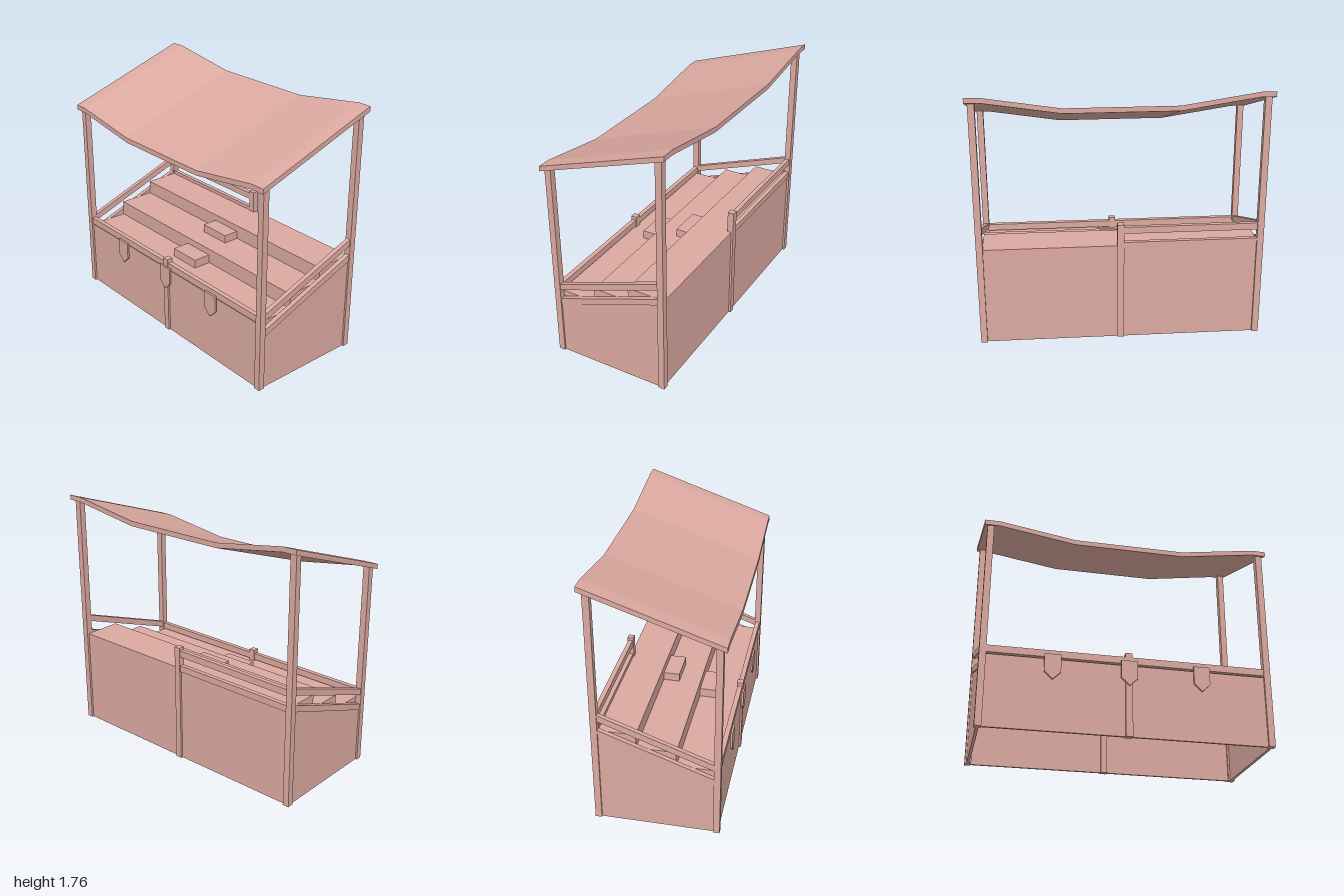
import * as THREE from 'three';

const wood = new THREE.MeshStandardMaterial({ color: 0xdba9a0, flatShading: true, side: THREE.DoubleSide });
const ROOF_SLOPE = 0.34, RAIL_SLOPE = 0.366;

export function createModel() {
  const stall = new THREE.Group();
  stall.name = 'marketStall';

  const add = (name, geometry) => {
    const mesh = new THREE.Mesh(geometry, wood);
    mesh.name = name;
    stall.add(mesh);
    return mesh;
  };

  // raise vertices towards the back; only those above minY move
  const shear = (geometry, slope, minY = -1) => {
    const p = geometry.attributes.position;
    for (let i = 0; i < p.count; i++) {
      if (p.getY(i) > minY) p.setY(i, p.getY(i) - slope * p.getZ(i));
    }
    geometry.computeVertexNormals();
    return geometry;
  };

  // box given by its limits on each axis
  const block = (x0, x1, y0, y1, z0, z1) =>
    new THREE.BoxGeometry(x1 - x0, y1 - y0, z1 - z0)
      .translate((x0 + x1) / 2, (y0 + y1) / 2, (z0 + z1) / 2);

  const extrude = (points, depth) => new THREE.ExtrudeGeometry(
    new THREE.Shape(points.map(([x, y]) => new THREE.Vector2(x, y))),
    { depth, bevelEnabled: false });

  // sagging, sloped canopy
  const sag = [[-1, 1.61], [-0.9, 1.61], [-0.38, 1.53], [0.38, 1.53], [0.9, 1.61], [1, 1.61]];
  const under = sag.map(([x, y]) => [x, y - 0.035]).reverse();
  add('canopy', shear(extrude([...sag, ...under], 0.91).translate(0, 0, -0.455), ROOF_SLOPE));

  for (const s of [-1, 1]) {
    const side = s < 0 ? 'right' : 'left';
    const a = s < 0 ? -0.98 : 0.935, b = a + 0.045;
    // corner posts with tops cut to the canopy slope
    add(side + 'FrontPost', shear(block(a, b, 0, 1.585, 0.385, 0.43), ROOF_SLOPE, 0.5));
    add(side + 'BackPost', shear(block(a, b, 0, 1.585, -0.425, -0.38), ROOF_SLOPE, 0.5));
    // side panel and the two sloped rails above it
    const c = s * 0.958;
    add(side + 'Panel', shear(block(c - 0.01, c + 0.01, 0, 0.537, -0.385, 0.39), RAIL_SLOPE, 0.1));
    add(side + 'LowerRail', shear(block(c - 0.016, c + 0.016, 0.537, 0.583, -0.385, 0.39), RAIL_SLOPE));
    add(side + 'UpperRail', shear(block(c - 0.016, c + 0.016, 0.653, 0.7, -0.385, 0.39), RAIL_SLOPE));
  }

  // front and back walls
  add('frontPanel', block(-0.94, 0.94, 0, 0.49, 0.4, 0.416));
  add('frontRail', block(-0.94, 0.94, 0.5, 0.548, 0.39, 0.424));
  add('frontMiddlePost', block(-0.025, 0.022, 0, 0.575, 0.385, 0.43));
  add('backPanel', block(-0.94, 0.94, 0, 0.698, -0.41, -0.394));
  add('backMiddlePost', block(-0.02, 0.025, 0, 0.855, -0.425, -0.38));
  add('backLowerRail', block(-0.94, -0.015, 0.678, 0.724, -0.418, -0.386));
  add('backUpperRail', block(-0.94, -0.015, 0.788, 0.835, -0.418, -0.386));

  // stepped display shelves, profile drawn in (-z, y) and turned to run along x
  const steps = [[-0.4, 0.45], [0.4, 0.45], [0.4, 0.698], [0.135, 0.698], [0.135, 0.597],
    [-0.13, 0.597], [-0.13, 0.49], [-0.4, 0.49]];
  add('displaySteps', extrude(steps, 1.88).rotateY(Math.PI / 2).translate(-0.94, 0, 0));

  // small boxes on the shelves
  add('lowerBox', block(-0.12, 0.12, 0.49, 0.552, 0.132, 0.26));
  add('upperBox', block(-0.12, 0.12, 0.597, 0.655, -0.133, -0.02));

  // pointed pennants hung on the front
  const pennant = [[-0.055, 0.517], [-0.055, 0.395], [0, 0.343], [0.055, 0.395], [0.055, 0.517]];
  for (const x of [-0.507, 0, 0.492]) {
    add('pennant', extrude(pennant, 0.014).translate(x, 0, 0.426));
  }

  return stall;
}
